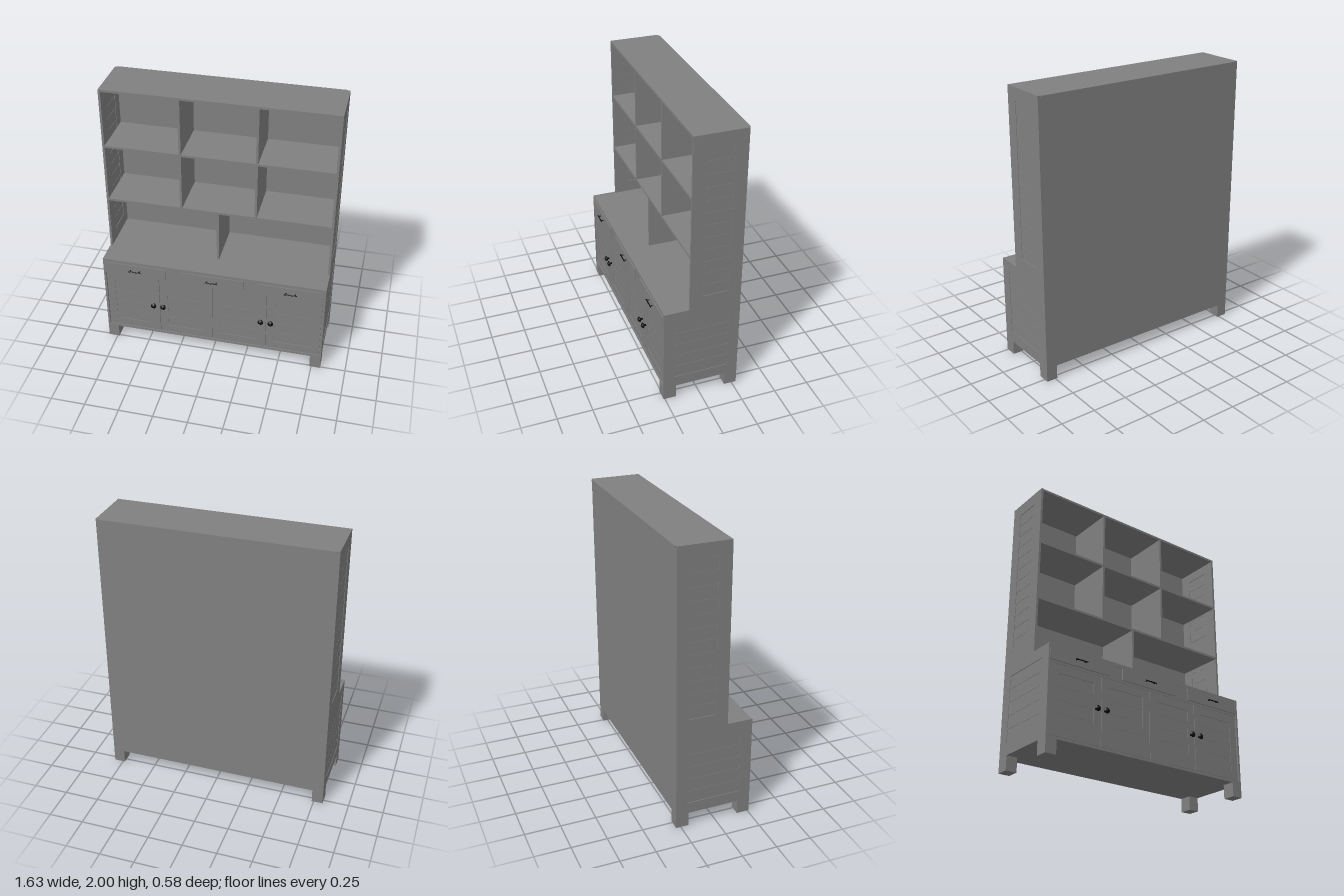
import * as THREE from 'three';

const wood = new THREE.MeshStandardMaterial({ color: 0x808080 });
const black = new THREE.MeshStandardMaterial({ color: 0x0c0c0c });

export function createModel() {
  const cabinet = new THREE.Group();
  cabinet.name = 'cabinet';

  const add = (name, geometry, parent = cabinet, material = wood) => {
    const mesh = new THREE.Mesh(geometry, material);
    mesh.name = name;
    parent.add(mesh);
    return mesh;
  };

  // box given by its low and high limits on each axis
  const box = (name, x0, x1, y0, y1, z0, z1, parent) => {
    const mesh = add(name, new THREE.BoxGeometry(x1 - x0, y1 - y0, z1 - z0), parent);
    mesh.position.set((x0 + x1) / 2, (y0 + y1) / 2, (z0 + z1) / 2);
  };

  // framed board in the XY plane, its recessed centre made of horizontal planks
  const framedBoard = (name, w, h, depth, margin, planks) => {
    const group = new THREE.Group();
    group.name = name;
    const px = w / 2 - margin, py = h / 2 - margin, pz = depth / 2 - 0.003;
    const rect = (Type, a, b) => new Type([
      new THREE.Vector2(-a, -b), new THREE.Vector2(a, -b),
      new THREE.Vector2(a, b), new THREE.Vector2(-a, b),
    ]);
    const shape = rect(THREE.Shape, w / 2, h / 2);
    shape.holes.push(rect(THREE.Path, px, py));
    const frame = new THREE.ExtrudeGeometry(shape, { depth, bevelEnabled: false });
    frame.translate(0, 0, -depth / 2);
    add(name + 'Frame', frame, group);
    box(name + 'Core', -px, px, -py, py, -pz + 0.002, pz - 0.002, group);
    const pitch = 2 * py / planks;
    for (let i = 0; i < planks; i++) {
      const y = -py + i * pitch;
      box(name + 'Plank', -px, px, y + 0.0015, y + pitch - 0.0015, -pz, pz, group);
    }
    cabinet.add(group);
    return group;
  };

  const W = 0.816, T = 0.016, IN = W - T, BACK = -0.284;

  // side boards of the base and the hutch, and the four feet
  for (const s of [-1, 1]) {
    const baseSide = framedBoard('baseSide', 0.544, 0.63, T, 0.08, 5);
    baseSide.rotation.y = Math.PI / 2;
    baseSide.position.set(s * (W - T / 2), 0.415, -0.012);

    const hutchSide = framedBoard('hutchSide', 0.364, 1.27, T, 0.09, 12);
    hutchSide.rotation.y = Math.PI / 2;
    hutchSide.position.set(s * (W - T / 2), 1.365, -0.102);

    for (const z of [-0.239, 0.215]) {
      box('foot', s * 0.776 - 0.04, s * 0.776 + 0.04, 0, 0.1, z - 0.045, z + 0.045);
    }
  }

  // back board with its narrow top lip
  box('backBoard', -IN, IN, 0.1, 2, BACK, BACK + 0.01);
  box('backLip', -0.797, 0.797, 1.985, 2, -0.292, BACK);

  // base: floor, counter, front rails and partitions
  box('baseFloor', -IN, IN, 0.1, 0.118, BACK + 0.01, 0.258);
  box('counter', -IN, IN, 0.712, 0.729, BACK + 0.01, 0.24);
  box('counterEdge', -IN, IN, 0.705, 0.73, 0.24, 0.257);
  box('drawerRail', -IN, IN, 0.602, 0.712, 0.235, 0.255);
  for (const x of [-0.4, 0, 0.4]) {
    box('basePartition', x - 0.008, x + 0.008, 0.118, 0.712, BACK + 0.01, 0.238);
  }

  // doors with recessed plank panels
  for (let i = 0; i < 4; i++) {
    const door = framedBoard('door', 0.396, 0.48, 0.016, 0.06, 4);
    door.position.set(-0.599 + i * 0.3993, 0.361, 0.246);
  }

  // round door knobs, flaring from a thin neck
  const knobProfile = [[0, 0], [0.007, 0], [0.007, 0.012], [0.02, 0.022], [0.02, 0.027], [0.008, 0.037], [0, 0.038]]
    .map(([r, y]) => new THREE.Vector2(r, y));
  for (const x of [-0.442, -0.37, 0.362, 0.435]) {
    const knob = add('doorKnob', new THREE.LatheGeometry(knobProfile, 20), cabinet, black);
    knob.rotation.x = Math.PI / 2;
    knob.position.set(x, 0.367, 0.253);
  }

  // drawer fronts with bar handles
  for (const x of [-0.574, -0.003, 0.568]) {
    box('drawerFront', x - 0.23, x + 0.23, 0.62, 0.705, 0.25, 0.263);
    const bar = add('handleBar', new THREE.CylinderGeometry(0.004, 0.004, 0.092, 10), cabinet, black);
    bar.rotation.z = Math.PI / 2;
    bar.position.set(x, 0.661, 0.281);
    for (const s of [-1, 1]) {
      const post = add('handlePost', new THREE.CylinderGeometry(0.0035, 0.0035, 0.02, 10), cabinet, black);
      post.rotation.x = Math.PI / 2;
      post.position.set(x + s * 0.034, 0.661, 0.271);
    }
  }

  // hutch shelves, top board and dividers
  const FRONT = 0.079;
  for (const y of [1.133, 1.565, 1.992]) {
    box(y > 1.9 ? 'topBoard' : 'shelf', -IN, IN, y - 0.008, y + 0.008, BACK + 0.01, FRONT);
  }
  for (const [y0, y1] of [[1.141, 1.557], [1.573, 1.984]]) {
    for (const x of [-0.265, 0.269]) {
      box('divider', x - 0.008, x + 0.008, y0, y1, BACK + 0.01, FRONT);
    }
  }
  box('lowerDivider', -0.008, 0.008, 0.729, 1.125, BACK + 0.01, FRONT);

  return cabinet;
}
